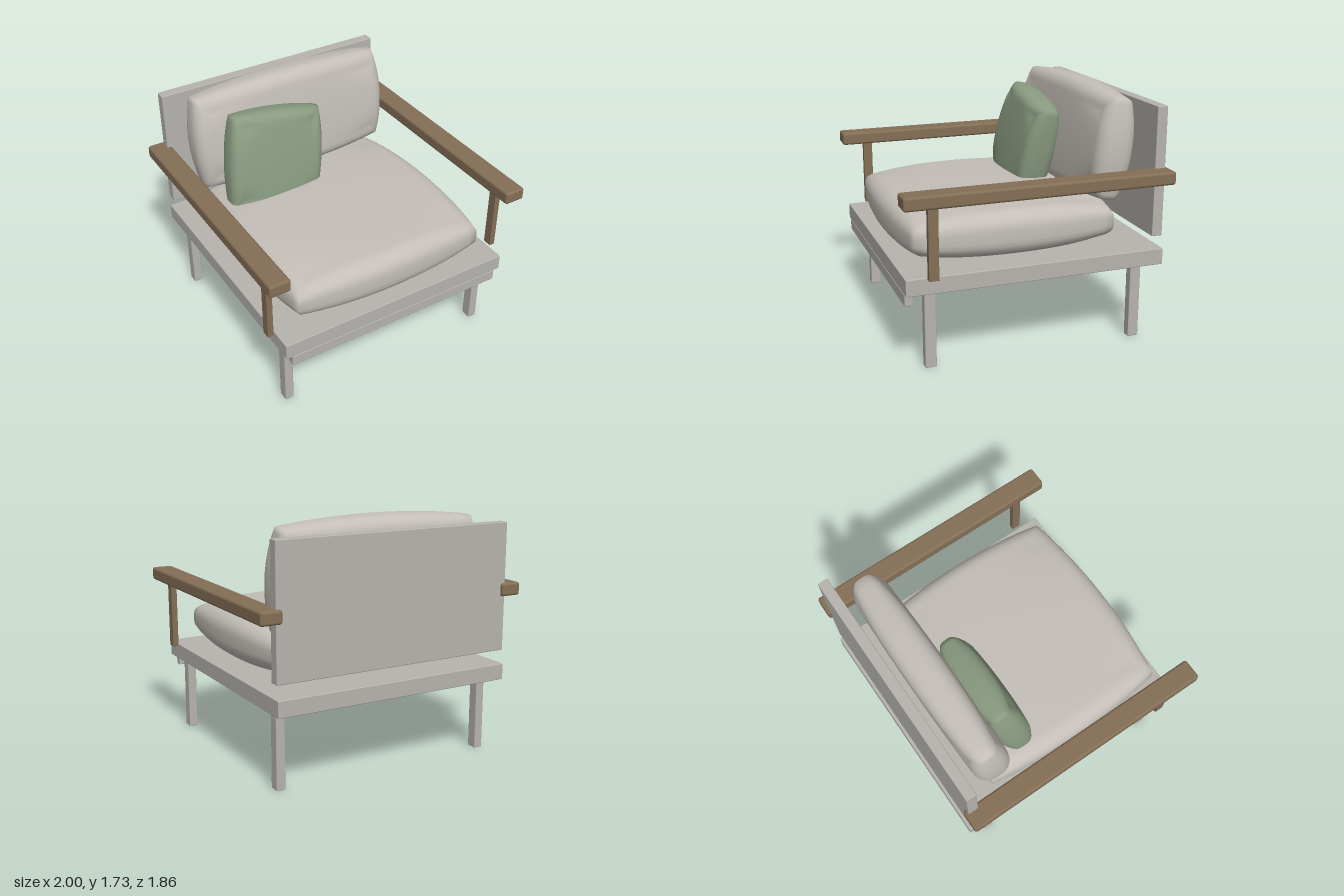
import * as THREE from 'three';
import { mergeVertices } from 'three/addons/utils/BufferGeometryUtils.js';
import { RoundedBoxGeometry } from 'three/addons/geometries/RoundedBoxGeometry.js';

const material = (name, color) => new THREE.MeshStandardMaterial({ name, color });

// Bevelled board given by its extents on each axis
function board(name, mat, [x0, x1], [y0, y1], [z0, z1], radius = 0.006) {
  const geometry = new RoundedBoxGeometry(x1 - x0, y1 - y0, z1 - z0, 2, radius);
  const mesh = new THREE.Mesh(geometry, mat);
  mesh.name = name;
  mesh.position.set((x0 + x1) / 2, (y0 + y1) / 2, (z0 + z1) / 2);
  return mesh;
}

// Stuffed cushion lying in the xy plane: bowed sides, rounded rim, crowned faces.
// a, b, h are half width, half height and half thickness.
function cushion(name, mat, { a, b, h, bulge, rim, corner }) {
  let geometry = new THREE.BoxGeometry(2, 2, 2, 20, 20, 14);
  geometry.deleteAttribute('normal');
  geometry.deleteAttribute('uv');
  geometry = mergeVertices(geometry);
  const pos = geometry.attributes.position;
  for (let i = 0; i < pos.count; i++) {
    const p = pos.getX(i), q = pos.getY(i);
    const t = Math.sin(pos.getZ(i) * Math.PI / 2);
    const e = Math.max(0, (Math.abs(t) - 0.25) / 0.75);
    const inset = rim * (1 - Math.sqrt(Math.max(0, 1 - e * e)));
    const crown = (1 - 0.08 * p * p) * (1 - 0.08 * q * q) * (1 - corner * p ** 4 * q ** 4);
    pos.setXYZ(i,
      p * (a - bulge * q * q - inset),
      q * (b - bulge * p * p - inset),
      t * h * crown);
  }
  geometry.computeVertexNormals();
  const mesh = new THREE.Mesh(geometry, mat);
  mesh.name = name;
  return mesh;
}

export function createModel() {
  const frame = material('grey frame', 0xb7b4af);
  const fabric = material('light upholstery', 0xc3beb7);
  const wood = material('brown wood', 0x846f56);
  const green = material('sage fabric', 0x8a9b80);

  const chair = new THREE.Group();
  chair.name = 'armchair';

  // Base, front rail and back panel
  chair.add(
    board('seatPlatform', frame, [-0.885, 0.885], [0.535, 0.65], [-0.92, 0.9]),
    board('frontRail', frame, [-0.84, 0.84], [0.455, 0.535], [0.845, 0.9]),
    board('backPanel', frame, [-0.885, 0.885], [0.745, 1.645], [-0.905, -0.83]),
  );

  // Legs, arms and arm posts on both sides
  for (const [side, s] of [['left', 1], ['right', -1]]) {
    const span = (x0, x1) => (s > 0 ? [x0, x1] : [-x1, -x0]);
    chair.add(
      board(side + 'FrontLeg', frame, span(0.768, 0.832), [0, 0.54], [0.69, 0.767]),
      board(side + 'BackLeg', frame, span(0.768, 0.832), [0, 0.54], [-0.782, -0.705]),
      board(side + 'Armrest', wood, span(0.848, 1), [1.13, 1.222], [-0.93, 0.93], 0.018),
      board(side + 'ArmPost', wood, span(0.9, 0.942), [0.645, 1.14], [0.695, 0.762], 0.003),
    );
  }

  // Seat cushion
  const seat = cushion('seatCushion', fabric,
    { a: 0.79, b: 0.77, h: 0.172, bulge: 0.062, rim: 0.13, corner: 0.15 });
  seat.rotation.x = -Math.PI / 2;
  seat.position.set(0, 0.828, 0.09);

  // Back cushion, leaning against the panel
  const back = cushion('backCushion', fabric,
    { a: 0.785, b: 0.392, h: 0.147, bulge: 0.045, rim: 0.1, corner: 0.15 });
  back.rotation.x = -0.13;
  back.position.set(0, 1.335, -0.608);

  // Small loose pillow, tilted and leaning
  const pillow = cushion('throwPillow', green,
    { a: 0.37, b: 0.37, h: 0.132, bulge: 0.025, rim: 0.08, corner: 0.2 });
  pillow.rotation.set(-0.2, 0, -0.155);
  pillow.position.set(-0.27, 1.21, -0.345);

  chair.add(seat, back, pillow);
  return chair;
}
